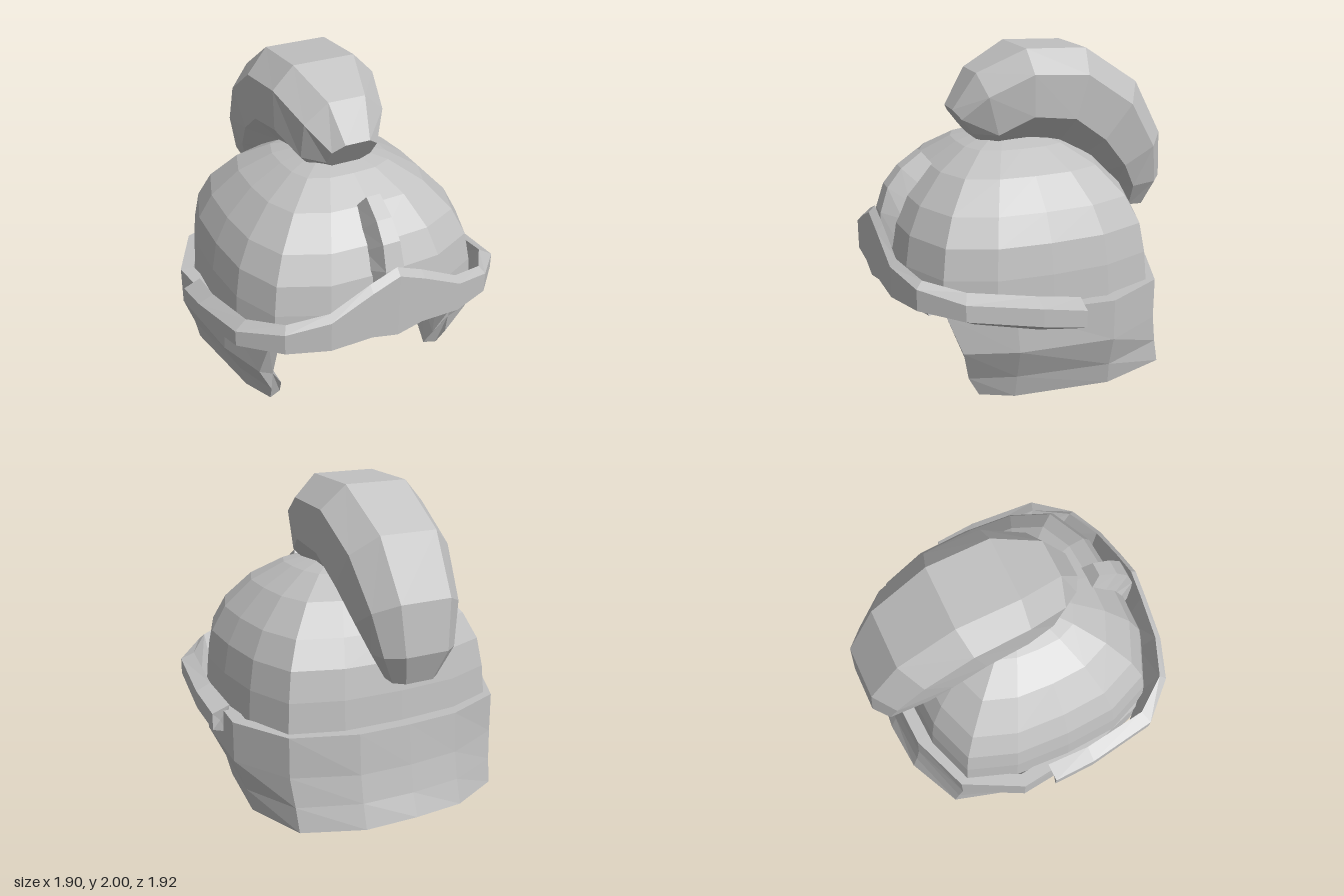
import * as THREE from 'three';

const steel = new THREE.MeshStandardMaterial({ color: 0xc0c0c0 });
steel.name = 'grey steel';

// Closed faceted solid through a list of equal-length rings of [x, y, z], capped at both ends.
function loft(name, rings) {
  const tris = [];
  const n = rings[0].length;
  for (let i = 0; i + 1 < rings.length; i++) {
    for (let j = 0; j < n; j++) {
      const k = (j + 1) % n;
      const a = rings[i][j], b = rings[i][k], c = rings[i + 1][k], d = rings[i + 1][j];
      tris.push([a, b, c], [a, c, d]);
    }
  }
  const cap = (ring, flip) => {
    const mid = [0, 1, 2].map(q => ring.reduce((s, p) => s + p[q], 0) / n);
    ring.forEach((p, j) => {
      const next = ring[(j + 1) % n];
      tris.push(flip ? [mid, next, p] : [mid, p, next]);
    });
  };
  cap(rings[0], true);
  cap(rings[rings.length - 1], false);

  // Signed volume tells whether the faces point outward
  const v = tris.map(t => t.map(p => new THREE.Vector3(...p)));
  const volume = v.reduce((s, [a, b, c]) => s + a.dot(b.clone().cross(c)), 0);
  if (volume < 0) v.forEach(t => t.reverse());

  const geometry = new THREE.BufferGeometry().setFromPoints(v.flat());
  geometry.computeVertexNormals();
  const mesh = new THREE.Mesh(geometry, steel);
  mesh.name = name;
  return mesh;
}

// Half a set of rings (+x first, centre last) completed with its mirror image
function mirrored(half) {
  const other = half.slice(0, -1).reverse().map(r => r.map(([x, y, z]) => [-x, y, z]));
  return [...half, ...other];
}

// Domed cap: a rounded-square outline shrinking towards the top
function makeDome() {
  const side = [[0, 0.87], [0.38, 0.85], [0.68, 0.71], [0.8, 0.42], [0.82, 0.08],
    [0.8, -0.28], [0.69, -0.59], [0.38, -0.70], [0, -0.72]];
  const outline = [...side, ...side.slice(1, -1).reverse().map(([x, z]) => [-x, z])];
  const levels = [[0.59, 1], [0.8, 0.98], [0.98, 0.94], [1.14, 0.84],
    [1.31, 0.64], [1.425, 0.4], [1.47, 0.2], [1.475, 0.05]];
  return loft('dome', levels.map(([y, s]) =>
    outline.map(([x, z]) => [x * s, y, 0.08 + (z - 0.08) * s])));
}

// Cheek and neck guard: a thick wall running from cheek to cheek around the back
function makeGuard() {
  const half = [
    [[0.71, 0.60, 0.70], [0.74, 0.36, 0.61], [0.64, 0.14, 0.55], [0.62, 0.01, 0.48]],
    [[0.83, 0.61, 0.32], [0.84, 0.36, 0.30], [0.74, 0.15, 0.28], [0.70, 0.00, 0.28]],
    [[0.90, 0.62, -0.27], [0.90, 0.37, -0.27], [0.83, 0.17, -0.28], [0.80, 0.03, -0.29]],
    [[0.71, 0.62, -0.64], [0.71, 0.37, -0.64], [0.69, 0.19, -0.67], [0.68, 0.04, -0.70]],
    [[0.33, 0.62, -0.785], [0.33, 0.37, -0.80], [0.33, 0.20, -0.83], [0.33, 0.05, -0.87]],
    [[0, 0.62, -0.80], [0, 0.37, -0.82], [0, 0.20, -0.85], [0, 0.06, -0.90]],
  ];
  const columns = mirrored(half);
  const last = columns.length - 1;
  const thickness = 0.085;
  return loft('cheekAndNeckGuard', columns.map((column, i) => {
    const inner = column.map(([x, y, z], r) => {
      const a = columns[Math.max(i - 1, 0)][r], b = columns[Math.min(i + 1, last)][r];
      const dx = b[0] - a[0], dz = b[2] - a[2], len = Math.hypot(dx, dz);
      return [x + dz / len * thickness, y, z - dx / len * thickness];
    });
    return [...column, ...inner.reverse()];
  }));
}

// Brow band from its end to the centre:
// [outer x, z, upper inner x, z, lower inner x, z, top, bottom, lower bevel]
function makeBrow() {
  const stations = [
    [0.95, -0.07, 0.84, -0.075, 0.85, -0.03, 0.65, 0.46, 0.045],
    [0.95, 0.20, 0.855, 0.20, 0.86, 0.20, 0.705, 0.50, 0.055],
    [0.89, 0.64, 0.81, 0.61, 0.79, 0.56, 0.775, 0.565, 0.07],
    [0.68, 0.86, 0.655, 0.82, 0.65, 0.71, 0.82, 0.60, 0.05],
    [0.43, 0.945, 0.42, 0.905, 0.38, 0.84, 0.875, 0.63, 0.015],
    [0.17, 0.955, 0.17, 0.915, 0.17, 0.85, 1.00, 0.645, 0.01],
    [0, 0.96, 0, 0.92, 0, 0.85, 1.07, 0.605, 0.015],
  ];
  return loft('browBand', mirrored(stations.map(([ox, oz, ux, uz, lx, lz, top, bottom, bevel]) => [
    [ux, top, uz], [ox, top - 0.04, oz], [ox, bottom + bevel, oz], [lx, bottom, lz],
  ])));
}

// Tapered rib on the forehead: [outer z, y, inner z, y, base half width, face half width]
function makeRib() {
  const stations = [
    [0.91, 0.82, 0.80, 0.82, 0.12, 0.065],
    [0.90, 1.04, 0.78, 1.00, 0.115, 0.06],
    [0.85, 1.19, 0.73, 1.10, 0.105, 0.055],
    [0.76, 1.30, 0.66, 1.20, 0.095, 0.05],
    [0.63, 1.39, 0.56, 1.30, 0.08, 0.045],
  ];
  return loft('foreheadRib', stations.map(([oz, oy, iz, iy, base, face]) => [
    [base, iy, iz], [face, oy, oz], [-face, oy, oz], [-base, iy, iz],
  ]));
}

// Crest plume: eight-sided sections along an arc
// [outer z, y, inner z, y, half width outside, half width at the sides]
function makePlume() {
  const stations = [
    [0.44, 1.64, 0.29, 1.44, 0.08, 0.15],
    [0.30, 1.86, 0.17, 1.36, 0.12, 0.26],
    [0.01, 2.00, 0.00, 1.46, 0.20, 0.335],
    [-0.38, 1.985, -0.22, 1.42, 0.20, 0.345],
    [-0.74, 1.75, -0.37, 1.30, 0.185, 0.33],
    [-0.935, 1.40, -0.52, 1.17, 0.165, 0.29],
    [-0.96, 1.10, -0.64, 1.06, 0.14, 0.235],
    [-0.885, 0.915, -0.69, 0.92, 0.09, 0.15],
  ];
  return loft('crestPlume', stations.map(([oz, oy, iz, iy, w, wide]) => {
    const at = (x, t) => [x, oy + (iy - oy) * t, oz + (iz - oz) * t];
    return [at(w, 0), at(wide, 0.25), at(wide * 0.98, 0.72), at(w, 1),
      at(-w, 1), at(-wide * 0.98, 0.72), at(-wide, 0.25), at(-w, 0)];
  }));
}

export function createModel() {
  const helmet = new THREE.Group();
  helmet.name = 'helmet';
  helmet.add(makeDome(), makeGuard(), makeBrow(), makeRib(), makePlume());
  return helmet;
}
